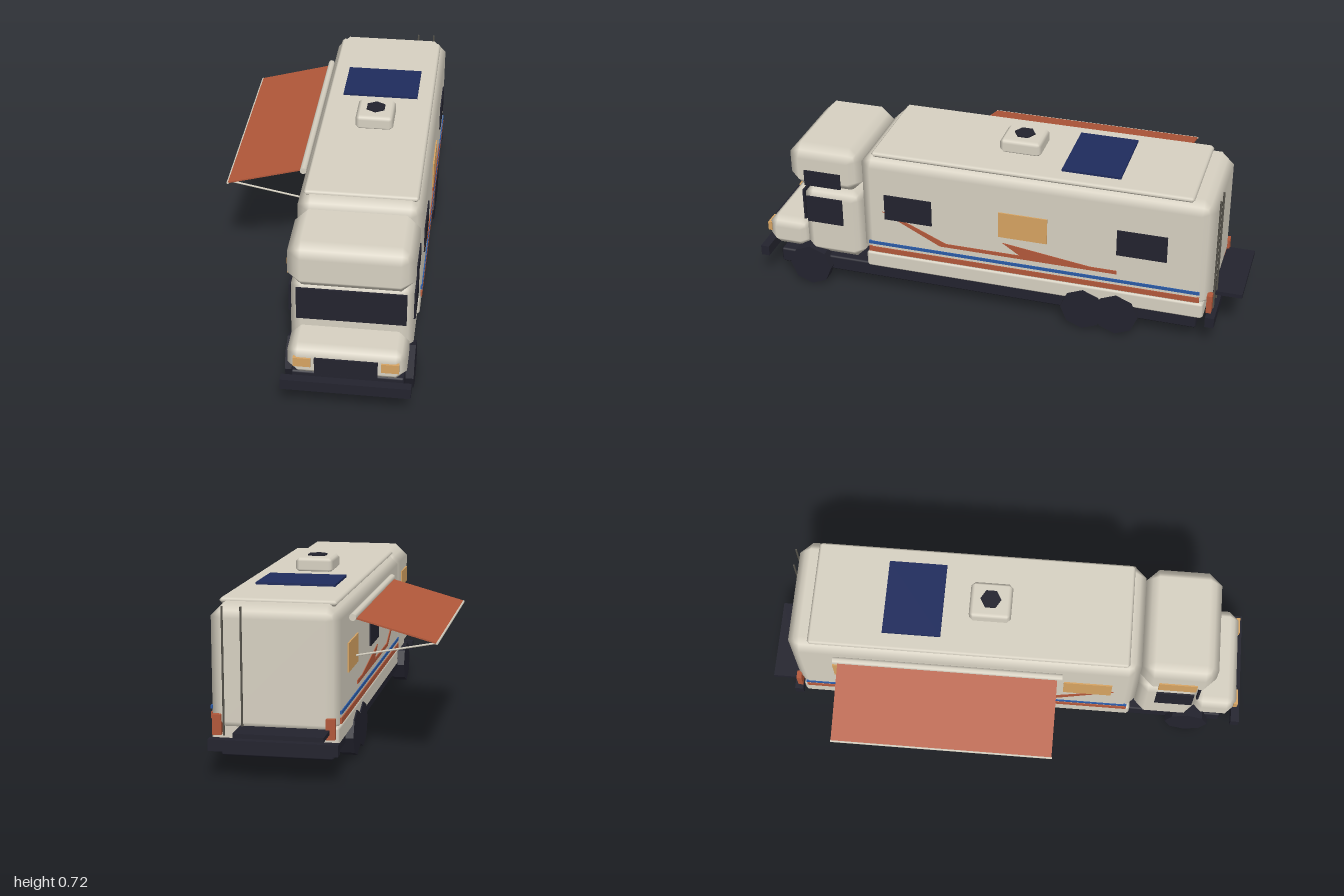
import * as THREE from 'three';

const material = (name, color) => Object.assign(new THREE.MeshStandardMaterial({ color }), { name });

export function createModel() {
  const cream = material('cream shell', 0xd6d0c1);
  const dark = material('dark trim and glass', 0x23232e);
  const rust = material('rust orange', 0xb2583a);
  const gold = material('warm amber', 0xd6a362);
  const navy = material('solar navy', 0x1f2b5c);
  const blue = material('stripe blue', 0x2a5aa6);
  const steel = material('ladder grey', 0x57544c);

  const model = new THREE.Group();
  model.name = 'motorhome';
  // Everything is built around the vehicle's own centre line; the awning makes it off-centre.
  const body = new THREE.Group();
  body.name = 'vehicle';
  body.position.x = 0.163;
  model.add(body);

  const add = (name, geometry, mat) => {
    const mesh = new THREE.Mesh(geometry, mat);
    mesh.name = name;
    body.add(mesh);
    return mesh;
  };

  // Box given by its limits on each axis
  const box = (name, mat, [x0, x1], [y0, y1], [z0, z1]) => {
    const mesh = add(name, new THREE.BoxGeometry(x1 - x0, y1 - y0, z1 - z0), mat);
    mesh.position.set((x0 + x1) / 2, (y0 + y1) / 2, (z0 + z1) / 2);
    return mesh;
  };

  // Box with chamfered edges of size r and softened normals
  const softBox = (name, mat, [x0, x1], [y0, y1], [z0, z1], r) => {
    const geo = new THREE.BoxGeometry(1, 1, 1, 3, 3, 3);
    const half = [(x1 - x0) / 2, (y1 - y0) / 2, (z1 - z0) / 2];
    const pos = geo.attributes.position, nor = geo.attributes.normal;
    for (let i = 0; i < pos.count; i++) {
      const p = [pos.getX(i), pos.getY(i), pos.getZ(i)];
      const s = p.map(v => (Math.abs(v) > 0.49 ? Math.sign(v) : 0));
      const n = Math.abs(s[0]) + Math.abs(s[1]) + Math.abs(s[2]);
      pos.setXYZ(i, ...p.map((v, k) => Math.sign(v) * (half[k] - r) + s[k] * r / n));
      nor.setXYZ(i, ...s.map(v => v / Math.sqrt(n)));
    }
    const mesh = add(name, geo, mat);
    mesh.position.set((x0 + x1) / 2, (y0 + y1) / 2, (z0 + z1) / 2);
    return mesh;
  };

  // Straight round bar between two points
  const bar = (name, mat, a, b, r, sides = 6) => {
    const from = new THREE.Vector3(...a), to = new THREE.Vector3(...b);
    const dir = to.clone().sub(from);
    const mesh = add(name, new THREE.CylinderGeometry(r, r, dir.length(), sides), mat);
    mesh.position.copy(from).add(to).multiplyScalar(0.5);
    mesh.quaternion.setFromUnitVectors(new THREE.Vector3(0, 1, 0), dir.normalize());
    return mesh;
  };

  // Shells
  softBox('house', cream, [-0.243, 0.243], [0.16, 0.645], [-0.887, 0.545], 0.05);
  softBox('skirt', cream, [-0.24, 0.24], [0.13, 0.2], [-0.865, 0.527], 0.01);
  softBox('roof', cream, [-0.222, 0.222], [0.634, 0.657], [-0.802, 0.495], 0.011);
  softBox('cabOverBunk', cream, [-0.238, 0.238], [0.446, 0.643], [0.545, 0.856], 0.052);
  softBox('cab', cream, [-0.234, 0.234], [0.14, 0.455], [0.545, 0.8], 0.042);
  softBox('hood', cream, [-0.223, 0.223], [0.143, 0.278], [0.79, 0.974], 0.04);

  // Chassis and bumpers
  softBox('chassis', dark, [-0.214, 0.214], [0.065, 0.13], [-0.838, 0.922], 0.008);
  box('frontBumper', dark, [-0.244, 0.244], [0.102, 0.146], [0.965, 1]);
  box('rearBumper', dark, [-0.244, 0.244], [0.102, 0.146], [-0.912, -0.876]);
  box('rearRack', dark, [-0.21, 0.125], [0.18, 0.197], [-1, -0.886]);

  // Wheels
  for (const z of [0.778, -0.385, -0.52]) {
    for (const side of [-1, 1]) {
      const geo = new THREE.CylinderGeometry(0.09, 0.09, 0.057, 8).toNonIndexed();
      geo.computeVertexNormals();
      const wheel = add('wheel', geo, dark);
      wheel.rotation.z = Math.PI / 2;
      wheel.position.set(side * 0.2165, 0.09, z);
    }
  }

  // Cab front
  box('windshield', dark, [-0.208, 0.208], [0.29, 0.427], [0.798, 0.807]);
  box('grille', dark, [-0.118, 0.118], [0.17, 0.24], [0.97, 0.979]);
  for (const side of [-1, 1]) {
    const x = side * 0.164;
    box('headlight', gold, [x - 0.033, x + 0.033], [0.2, 0.238], [0.965, 0.981]);
  }

  // Side windows, stripes and swooshes
  const plate = (name, mat, side, x, y, z) => {
    const c = side * x;
    box(name, mat, [c - 0.0035, c + 0.0035], y, z);
  };
  const swooshes = [
    [[0.447, 0.405], [0.385, 0.387], [0.18, 0.298], [-0.52, 0.298], [-0.52, 0.283], [0.205, 0.283]],
    [[-0.056, 0.345], [-0.14, 0.29], [-0.42, 0.29], [-0.42, 0.297]],
  ];
  for (const side of [-1, 1]) {
    const ends = side > 0 ? dark : gold, middle = side > 0 ? gold : dark;
    plate('bunkWindow', ends, side, 0.24, [0.475, 0.542], [0.623, 0.778]);
    plate('cabWindow', dark, side, 0.236, [0.303, 0.42], [0.623, 0.778]);
    plate('frontWindow', ends, side, 0.245, [0.373, 0.484], [0.238, 0.436]);
    plate('middleWindow', middle, side, 0.245, [0.373, 0.484], [-0.238, -0.04]);
    plate('rearWindow', ends, side, 0.245, [0.373, 0.484], [-0.714, -0.516]);
    plate('blueStripe', blue, side, 0.2435, [0.246, 0.259], [-0.848, 0.51]);
    plate('rustStripe', rust, side, 0.2435, [0.211, 0.233], [-0.848, 0.51]);
    for (const points of swooshes) {
      const shape = new THREE.Shape(points.map(p => new THREE.Vector2(...p)));
      const geo = new THREE.ExtrudeGeometry(shape, { depth: 0.006, bevelEnabled: false });
      geo.rotateY(-Math.PI / 2);
      add('swoosh', geo, rust).position.x = side * 0.2435 + 0.003;
    }
    const x = side * 0.213;
    box('tailLight', rust, [x - 0.017, x + 0.017], [0.16, 0.237], [-0.896, -0.875]);
  }

  // Roof fittings
  box('solarPanel', navy, [-0.156, 0.156], [0.655, 0.666], [-0.505, -0.27]);
  softBox('roofVent', cream, [-0.077, 0.077], [0.65, 0.714], [-0.163, 0.006], 0.016);
  add('ventFan', new THREE.CylinderGeometry(0.042, 0.042, 0.01, 6), dark).position.set(0, 0.714, -0.079);

  // Rear ladder rails
  for (const x of [0.115, 0.185]) bar('ladderRail', steel, [x, 0.16, -0.897], [x, 0.642, -0.897], 0.004);

  // Awning on the model's right side
  const inner = [-0.262, 0.573], outer = [-0.57, 0.488];
  const dx = outer[0] - inner[0], dy = outer[1] - inner[1];
  const canopy = add('awning', new THREE.BoxGeometry(Math.hypot(dx, dy), 0.006, 0.89), rust);
  canopy.position.set((inner[0] + outer[0]) / 2, (inner[1] + outer[1]) / 2, -0.235);
  canopy.rotation.z = Math.atan(dy / dx);
  bar('awningRoller', cream, [-0.259, 0.578, -0.7], [-0.259, 0.578, 0.23], 0.014, 8);
  bar('awningEdge', cream, [-0.571, 0.487, -0.682], [-0.571, 0.487, 0.212], 0.005);
  for (const z of [-0.66, 0.19]) bar('awningArm', cream, [-0.265, 0.427, z], [-0.568, 0.485, z], 0.004);

  return model;
}
